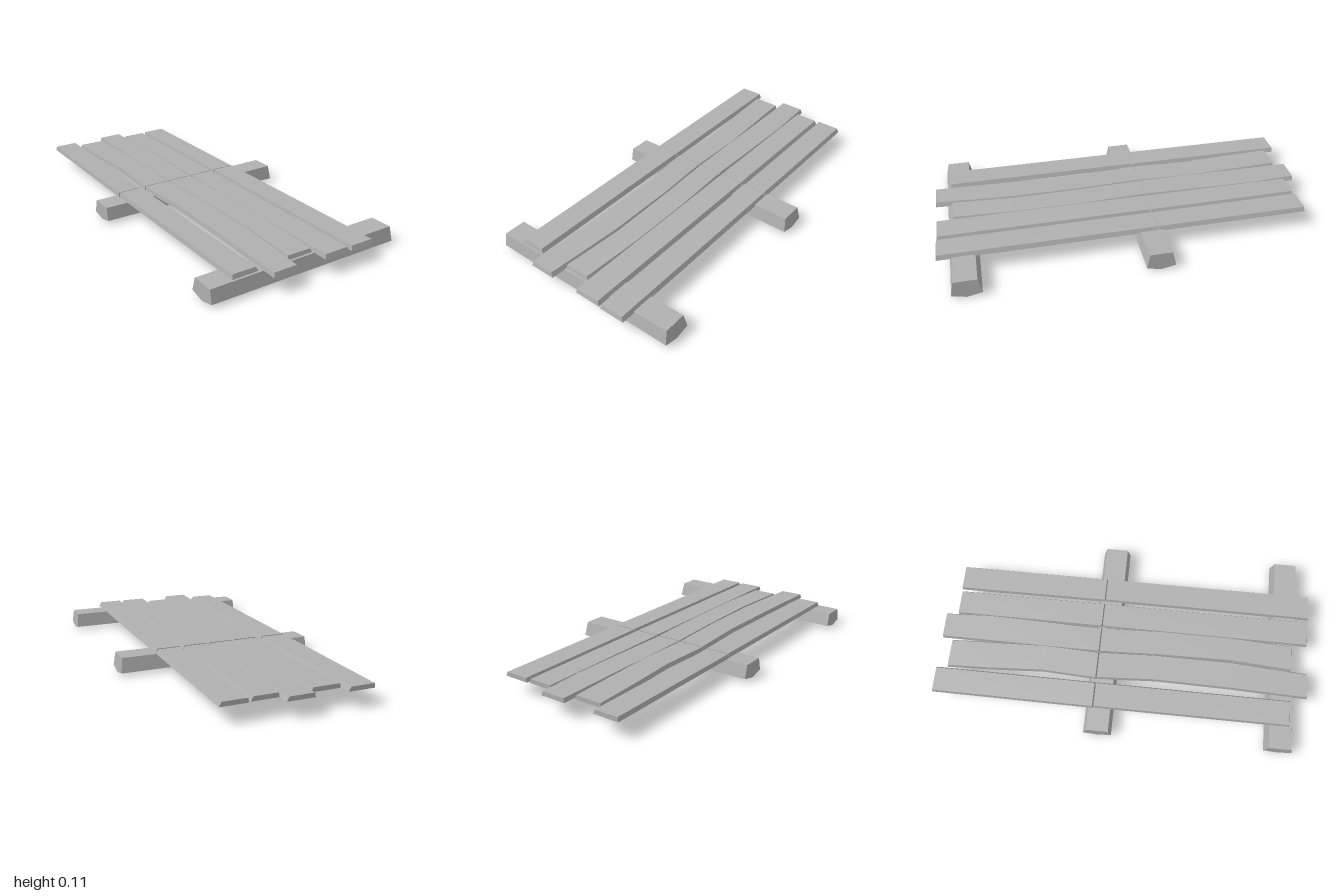
import * as THREE from 'three';

const wood = new THREE.MeshStandardMaterial({ color: 0xb0b0b0 });
wood.name = 'greyWood';

// Flat-shaded solid through equal-sized rings of [x, y, z] points, capped at both ends
function loft(name, rings) {
  const pos = [];
  const n = rings[0].length;
  const tri = (a, b, c) => pos.push(...a, ...b, ...c);
  for (let i = 0; i < rings.length - 1; i++) {
    for (let j = 0; j < n; j++) {
      const k = (j + 1) % n;
      const a = rings[i][j], b = rings[i][k], c = rings[i + 1][k], d = rings[i + 1][j];
      tri(a, b, c);
      tri(a, c, d);
    }
  }
  const first = rings[0], last = rings[rings.length - 1];
  for (let j = 1; j < n - 1; j++) {
    tri(first[0], first[j + 1], first[j]);
    tri(last[0], last[j], last[j + 1]);
  }
  const geo = new THREE.BufferGeometry();
  geo.setAttribute('position', new THREE.Float32BufferAttribute(pos, 3));
  geo.computeVertexNormals();
  const mesh = new THREE.Mesh(geo, wood);
  mesh.name = name;
  return mesh;
}

// Plank half: stations of [z, left edge, right edge], ordered from back to front
function plank(name, stations, top) {
  return loft(name, stations.map(([z, l, r], i) => {
    const front = i === stations.length - 1 ? 0.006 : 0;
    return [
      [l - 0.004, 0.088, z + front],
      [r + 0.011, 0.088, z + front],
      [r, top, z],
      [l, top, z],
    ];
  }));
}

// Five-sided cross beam with a keel underneath, running along x
function beam(name, z) {
  const end = (x, top, inset) => [
    [x - inset, top, z + 0.06],
    [x, 0.02, z + 0.075],
    [x, 0.002, z + 0.002],
    [x, 0.018, z - 0.075],
    [x - inset, top, z - 0.058],
  ];
  return loft(name, [end(-0.537, 0.088, 0), end(0.535, 0.095, 0.008)]);
}

export function createModel() {
  const model = new THREE.Group();
  model.name = 'plankWalkway';

  model.add(beam('frontBeam', 0.862), beam('middleBeam', -0.1));

  // Each plank is cut in two with a narrow joint over the middle beam
  const planks = [
    {
      back: [[-0.998, -0.408, -0.283], [-0.138, -0.412, -0.284]],
      front: [[-0.13, -0.41, -0.284], [0.905, -0.41, -0.284]],
    },
    {
      back: [[-0.94, -0.263, -0.122], [-0.7, -0.254, -0.112], [-0.42, -0.238, -0.102], [-0.138, -0.252, -0.112]],
      front: [[-0.13, -0.25, -0.112], [0.18, -0.232, -0.098], [0.58, -0.237, -0.098], [0.99, -0.25, -0.125]],
    },
    {
      back: [[-0.998, -0.098, 0.03], [-0.75, -0.098, 0.042], [-0.42, -0.1, 0.036], [-0.138, -0.1, 0.028]],
      front: [[-0.13, -0.1, 0.03], [0.2, -0.088, 0.042], [0.58, -0.082, 0.042], [0.905, -0.104, 0.026]],
    },
    {
      back: [[-0.936, 0.047, 0.172], [-0.138, 0.047, 0.175]],
      front: [[-0.13, 0.047, 0.175], [0.988, 0.047, 0.177]],
    },
    {
      back: [[-0.942, 0.198, 0.324], [-0.138, 0.203, 0.326]],
      front: [[-0.13, 0.204, 0.327], [0.992, 0.204, 0.329]],
    },
  ];
  planks.forEach(({ back, front }, i) => {
    const pair = new THREE.Group();
    pair.name = `plank${i + 1}`;
    pair.add(plank('backPlank', back, 0.111), plank('frontPlank', front, 0.112));
    model.add(pair);
  });

  return model;
}
